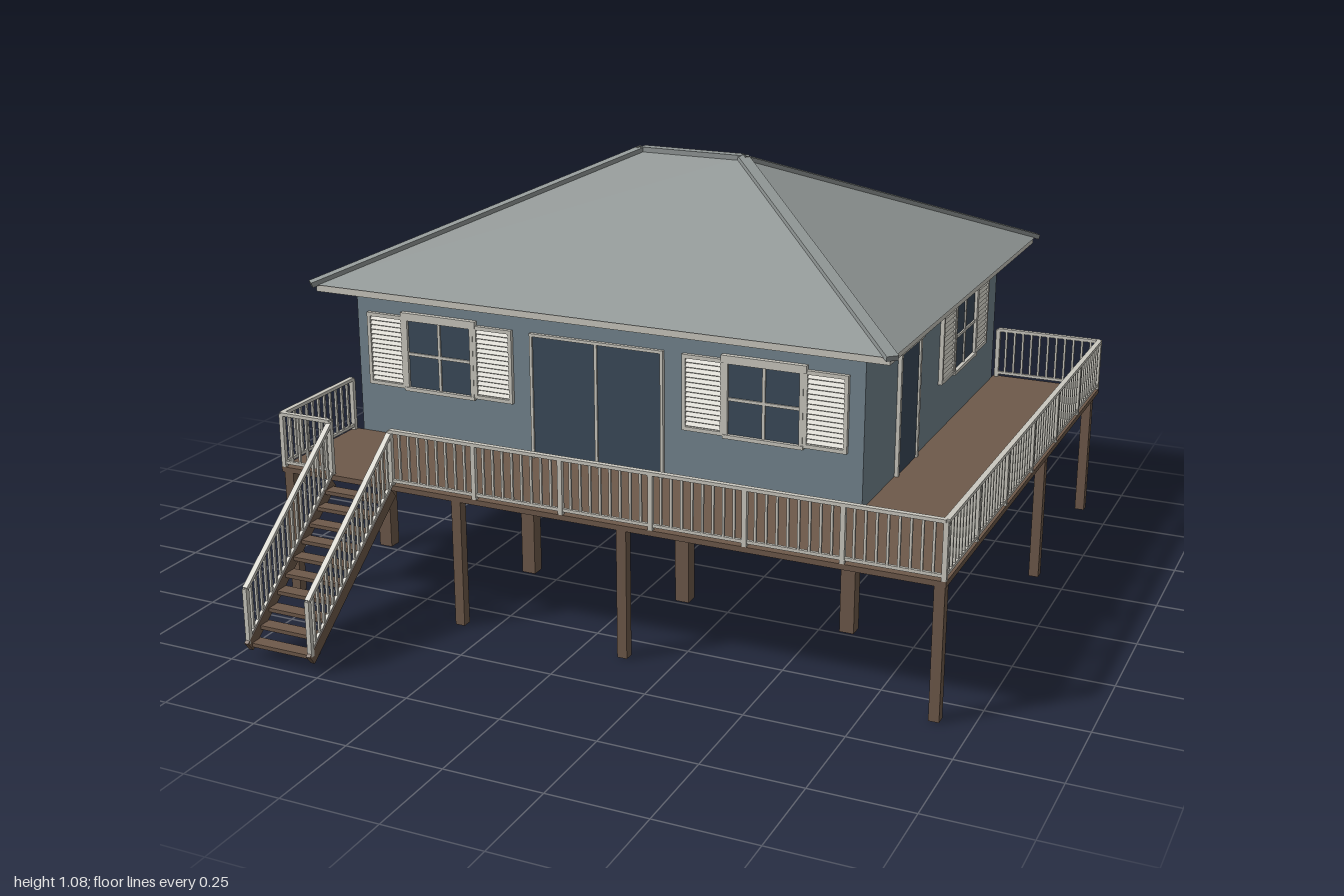
import * as THREE from 'three';

const mat = (name, color) => {
  const m = new THREE.MeshStandardMaterial({ color });
  m.name = name;
  return m;
};

export function createModel() {
  const wall = mat('blueGreyWall', 0x74858f);
  const trim = mat('creamTrim', 0xcbc9c0);
  const glass = mat('darkGlass', 0x3b4a5a);
  const wood = mat('brownWood', 0x6e594a);
  const roofing = mat('greyRoofing', 0x929897);

  const model = new THREE.Group();
  model.name = 'stiltHouse';
  const group = (name, parent = model) => {
    const g = new THREE.Group();
    g.name = name;
    parent.add(g);
    return g;
  };
  // box given by its limits on each axis
  const box = (parent, name, m, x0, x1, y0, y1, z0, z1) => {
    const b = new THREE.Mesh(new THREE.BoxGeometry(x1 - x0, y1 - y0, z1 - z0), m);
    b.position.set((x0 + x1) / 2, (y0 + y1) / 2, (z0 + z1) / 2);
    b.name = name;
    parent.add(b);
    return b;
  };
  // bar running between two points
  const bar = (parent, name, m, a, b, w, h) => {
    const p = new THREE.Vector3(...a), q = new THREE.Vector3(...b);
    const mesh = new THREE.Mesh(new THREE.BoxGeometry(w, h, p.distanceTo(q)), m);
    mesh.position.copy(p).add(q).multiplyScalar(0.5);
    mesh.lookAt(q);
    mesh.name = name;
    parent.add(mesh);
    return mesh;
  };

  // House body
  const X0 = -0.83, X1 = 0.61, Z0 = -0.9, Z1 = 0.265;
  const house = group('house');
  box(house, 'walls', wall, X0, X1, 0.34, 0.755, Z0, Z1);
  box(house, 'floorBand', trim, X0 - 0.003, X1 + 0.003, 0.31, 0.345, Z0 - 0.003, Z1 + 0.003);

  // House stilts and beams
  const stilts = group('stilts');
  for (const z of [-0.85, -0.315, 0.22]) {
    box(stilts, 'floorBeam', wood, X0, X1, 0.275, 0.31, z - 0.018, z + 0.018);
    for (const x of [-0.795, -0.34, 0.115, 0.57])
      box(stilts, 'housePost', wood, x - 0.019, x + 0.019, 0, 0.31, z - 0.019, z + 0.019);
  }

  // Hip roof
  const roof = group('roof');
  const ex0 = -0.92, ex1 = 0.7, ez0 = -0.99, ez1 = 0.345, ey = 0.77, ry = 1.07;
  box(roof, 'eaveBoard', trim, ex0 + 0.012, ex1 - 0.008, 0.75, ey, ez0 + 0.008, ez1 - 0.008);
  const corners = [[ex0, ey, ez1], [ex1, ey, ez1], [ex1, ey, ez0], [ex0, ey, ez0]];
  const L = [-0.26, ry, -0.325], R = [0.04, ry, -0.325];
  const [A, B, C, D] = corners;
  const faces = [A, B, R, A, R, L, B, C, R, C, D, L, C, L, R, D, A, L, A, C, B, A, D, C];
  const roofGeo = new THREE.BufferGeometry();
  roofGeo.setAttribute('position', new THREE.Float32BufferAttribute(faces.flat(), 3));
  roofGeo.computeVertexNormals();
  const slopes = new THREE.Mesh(roofGeo, roofing);
  slopes.name = 'roofSlopes';
  roof.add(slopes);
  bar(roof, 'ridgeCap', roofing, L, R, 0.03, 0.014);
  [[A, L], [B, R], [C, R], [D, L]].forEach(([c, r]) => bar(roof, 'hipCap', roofing, c, r, 0.032, 0.014));

  // Louvred shutter, centred on x
  const shutter = (parent, x, w, y0, y1) => {
    const s = group('shutter', parent);
    const a = x - w / 2, b = x + w / 2, t = 0.01;
    box(s, 'shutterBack', trim, a, b, y0, y1, 0, 0.003);
    box(s, 'shutterStile', trim, a, a + t, y0, y1, 0, 0.011);
    box(s, 'shutterStile', trim, b - t, b, y0, y1, 0, 0.011);
    box(s, 'shutterRail', trim, a + t, b - t, y0, y0 + t, 0, 0.011);
    box(s, 'shutterRail', trim, a + t, b - t, y1 - t, y1, 0, 0.011);
    const n = Math.round((y1 - y0 - 2 * t) / 0.013);
    for (let i = 0; i < n; i++) {
      const y = y0 + t + ((i + 0.5) * (y1 - y0 - 2 * t)) / n;
      box(s, 'louvre', trim, a + t, b - t, y - 0.005, y + 0.005, 0.004, 0.007).rotation.x = -0.6;
    }
  };
  // Frame on four sides of an opening
  const frame = (g, w, y0, y1, t, d) => {
    box(g, 'frameSide', trim, -w / 2 - t, -w / 2, y0, y1, 0, d);
    box(g, 'frameSide', trim, w / 2, w / 2 + t, y0, y1, 0, d);
    box(g, 'frameHead', trim, -w / 2 - t, w / 2 + t, y1, y1 + t, 0, d);
  };
  const onWall = (name, x, z, turn) => {
    const g = group(name, house);
    g.position.set(x, 0, z);
    g.rotation.y = turn;
    return g;
  };
  const window4 = (x, z, turn, w = 0.19, y0 = 0.495, sw = 0.115) => {
    const g = onWall('window', x, z, turn), y1 = 0.68, ym = (y0 + y1) / 2;
    box(g, 'pane', glass, -w / 2, w / 2, y0, y1, 0, 0.004);
    frame(g, w, y0, y1, 0.01, 0.012);
    box(g, 'lintel', trim, -w / 2 - 0.018, w / 2 + 0.018, y1 + 0.003, y1 + 0.022, 0, 0.014);
    box(g, 'sill', trim, -w / 2 - 0.012, w / 2 + 0.012, y0 - 0.01, y0, 0, 0.014);
    box(g, 'mullion', trim, -0.004, 0.004, y0, y1, 0, 0.008);
    box(g, 'transom', trim, -w / 2, w / 2, ym - 0.004, ym + 0.004, 0, 0.008);
    for (const s of [-1, 1]) shutter(g, s * (w / 2 + 0.01 + sw / 2), sw, y0 - 0.005, y1 + 0.01);
  };
  const H = Math.PI / 2;
  window4(-0.575, Z1, 0);
  window4(0.35, Z1, 0);
  window4(X1, -0.565, H);
  window4(0.33, Z0, Math.PI);
  window4(-0.4, Z0, Math.PI, 0.13, 0.56, 0.085);
  window4(X0, -0.54, -H);
  window4(X0, -0.09, -H);

  // Sliding door on the front, single door on the side
  const slider = onWall('slidingDoor', -0.112, Z1, 0);
  box(slider, 'doorGlass', glass, -0.182, 0.182, 0.35, 0.682, 0, 0.005);
  frame(slider, 0.364, 0.35, 0.682, 0.008, 0.01);
  box(slider, 'doorMullion', trim, -0.004, 0.004, 0.35, 0.682, 0, 0.009);
  const door = onWall('sideDoor', X1, -0.07, H);
  box(door, 'doorPanel', glass, -0.074, 0.074, 0.35, 0.677, 0, 0.005);
  frame(door, 0.148, 0.35, 0.677, 0.012, 0.01);
  box(door, 'lintel', trim, -0.094, 0.094, 0.677, 0.692, 0, 0.014);

  // Wraparound deck
  const deck = group('deck');
  const dx0 = -0.86, dx1 = 0.925, dz0 = -0.925, dz1 = 0.602;
  box(deck, 'frontDeck', wood, dx0, dx1, 0.336, 0.35, Z1, dz1);
  box(deck, 'sideDeck', wood, X1, dx1, 0.336, 0.35, dz0, Z1);
  const deckPosts = [[-0.84, 0.588], [-0.34, 0.588], [0.118, 0.588], [0.91, 0.588], [0.91, -0.315], [0.91, -0.85]];
  for (const [x, z] of deckPosts)
    box(deck, 'deckPost', wood, x - 0.013, x + 0.013, 0, 0.337, z - 0.013, z + 0.013);

  // Railing between two floor points, level or sloping
  const railing = (a, b, sections, low = 0.012, high = 0.148) => {
    const g = group('railing');
    const p = new THREE.Vector3(...a), q = new THREE.Vector3(...b);
    const up = (v, h) => [v.x, v.y + h, v.z];
    bar(g, 'topRail', trim, up(p, high - 0.004), up(q, high - 0.004), 0.014, 0.009);
    bar(g, 'bottomRail', trim, up(p, low), up(q, low), 0.008, 0.008);
    const n = Math.max(2, Math.round(p.distanceTo(q) / 0.026 / sections)) * sections;
    for (let i = 0; i <= n; i++) {
      const v = p.clone().lerp(q, i / n);
      const post = i % (n / sections) === 0, r = post ? 0.006 : 0.003;
      box(g, post ? 'railPost' : 'baluster', trim, v.x - r, v.x + r,
        v.y + (post ? 0 : low), v.y + high - 0.004, v.z - r, v.z + r);
    }
  };
  const y = 0.35, rx0 = dx0 + 0.006, rx1 = dx1 - 0.006, rz0 = dz0 + 0.006, rz1 = dz1 - 0.006;
  const sx0 = -0.708, sx1 = -0.528;
  railing([rx0, y, Z1 + 0.01], [rx0, y, rz1], 1);
  railing([rx0, y, rz1], [sx0, y, rz1], 1);
  railing([sx1, y, rz1], [rx1, y, rz1], 6);
  railing([rx1, y, rz1], [rx1, y, rz0], 6);
  railing([rx1, y, rz0], [X1 + 0.01, y, rz0], 1);

  // Stairs
  const stairs = group('stairs');
  for (const x of [sx0, sx1]) {
    bar(stairs, 'stringer', wood, [x, 0.33, 0.6], [x, 0.034, 0.984], 0.012, 0.03);
    railing([x, 0.345, rz1], [x, 0.043, 0.98], 1);
  }
  for (let i = 0; i < 10; i++) {
    const ty = 0.316 - i * 0.031, tz = 0.622 + i * 0.0375;
    box(stairs, 'tread', wood, sx0, sx1, ty - 0.005, ty + 0.005, tz - 0.018, tz + 0.018);
  }
  return model;
}
